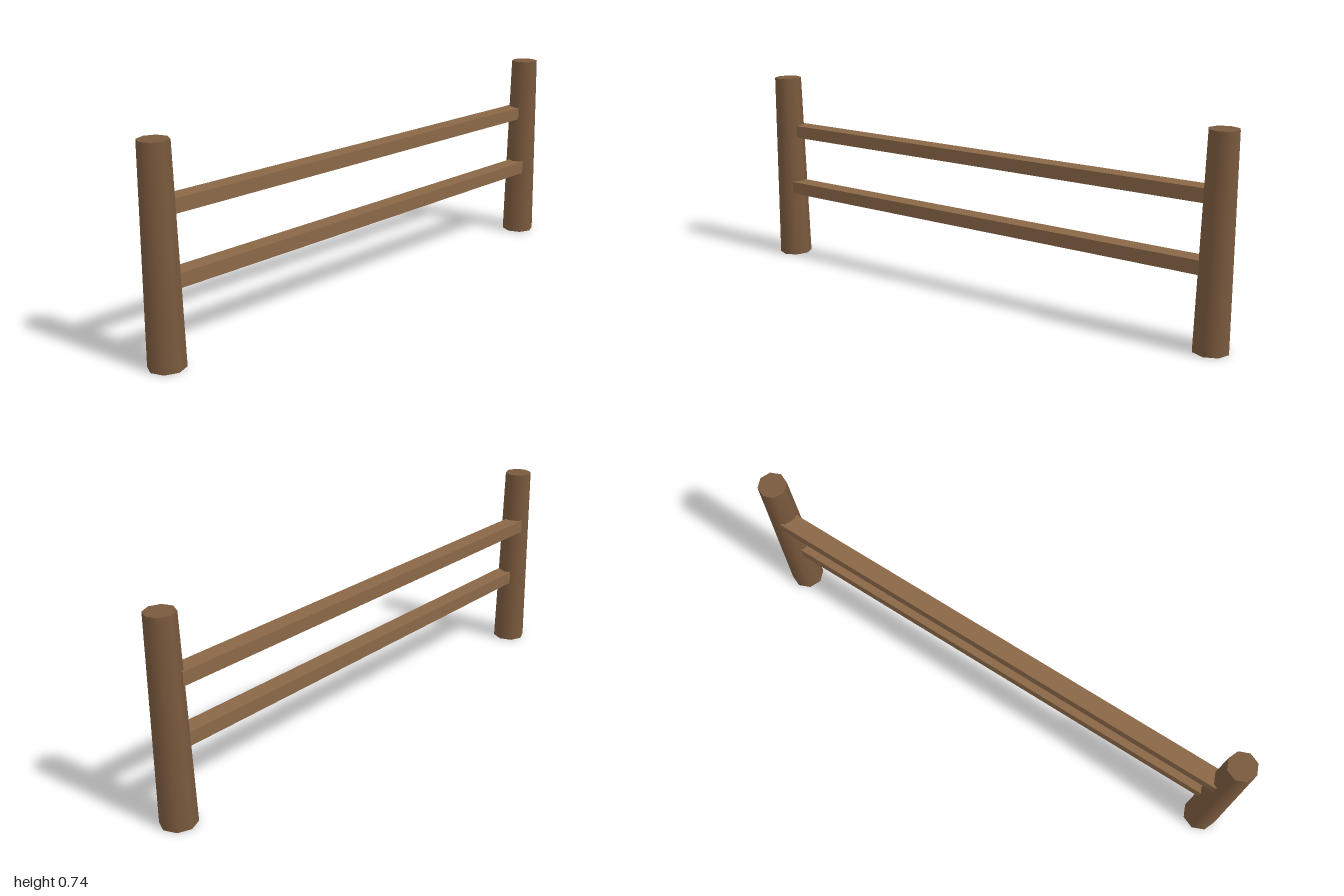
import * as THREE from 'three';

export function createModel() {
  const fence = new THREE.Group();
  fence.name = 'fence';

  const postWood = new THREE.MeshStandardMaterial({ color: 0x7a5a3e });
  const railWood = new THREE.MeshStandardMaterial({ color: 0x8b6847 });

  // Tapered eight-sided posts, one at each end
  const height = 0.742;
  const postGeometry = new THREE.CylinderGeometry(0.052, 0.064, height, 8);
  for (const [name, side] of [['leftPost', 1], ['rightPost', -1]]) {
    const post = new THREE.Mesh(postGeometry, postWood);
    post.name = name;
    post.position.set(side * 0.936, height / 2, 0);
    fence.add(post);
  }

  // Square-cut rails: the upper sits towards the back, the lower towards the front
  const addRail = (name, length, y, z) => {
    const rail = new THREE.Mesh(new THREE.BoxGeometry(length, 0.049, 0.065), railWood);
    rail.name = name;
    rail.position.set(0, y, z);
    fence.add(rail);
  };
  addRail('upperRail', 1.82, 0.523, -0.017);
  addRail('lowerRail', 1.81, 0.291, 0.01);

  return fence;
}
